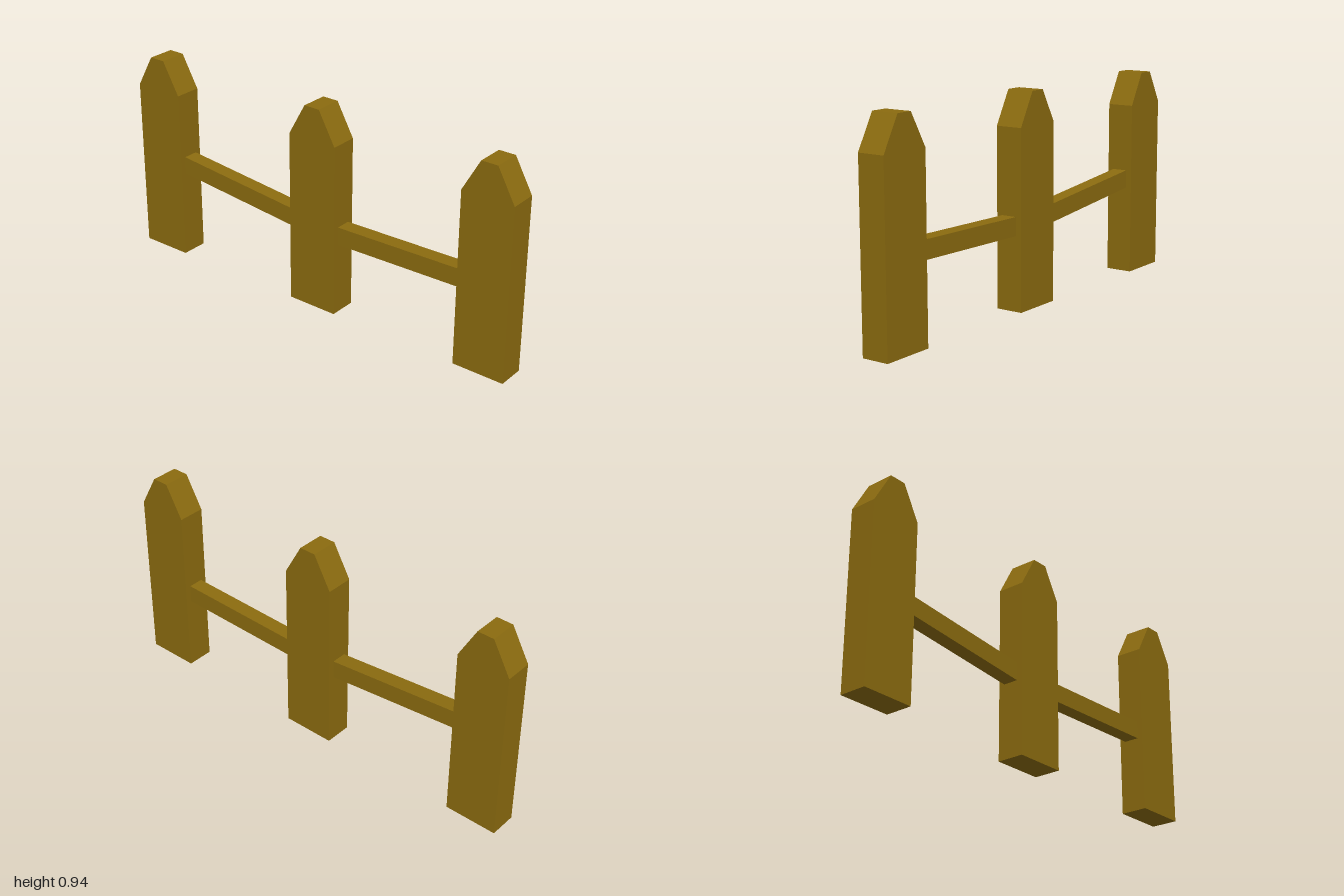
import * as THREE from 'three';

const wood = new THREE.MeshStandardMaterial({ color: 0x8b6b0f, flatShading: true });

// Extrudes a side profile of [z, y] points to a given thickness, centred on x = 0
function plank(name, points, thickness) {
  const shape = new THREE.Shape(points.map(([z, y]) => new THREE.Vector2(z, y)));
  const geometry = new THREE.ExtrudeGeometry(shape, { depth: thickness, bevelEnabled: false });
  geometry.translate(0, 0, -thickness / 2);
  geometry.rotateY(-Math.PI / 2);
  const mesh = new THREE.Mesh(geometry, wood);
  mesh.name = name;
  return mesh;
}

// Post with a sloped, flat-tipped top
function post(name, z) {
  const half = 0.121, tip = 0.038, shoulder = 0.797, height = 0.945;
  const mesh = plank(name, [
    [-half, 0], [half, 0], [half, shoulder], [tip, height], [-tip, height], [-half, shoulder],
  ], 0.125);
  mesh.position.z = z;
  return mesh;
}

// Sloping rail with upright ends, between two points on its centre line
function rail(name, z0, y0, z1, y1) {
  const h = 0.0415;
  return plank(name, [[z0, y0 - h], [z1, y1 - h], [z1, y1 + h], [z0, y0 + h]], 0.07);
}

export function createModel() {
  const fence = new THREE.Group();
  fence.name = 'fence';

  fence.add(
    post('frontPost', 0.88),
    post('middlePost', 0.0127),
    post('backPost', -0.88),
    rail('frontRail', 0.132, 0.374, 0.761, 0.3885),
    rail('backRail', -0.761, 0.447, -0.106, 0.383),
  );

  // The whole run of fence stands slightly askew
  fence.rotation.y = 0.128;

  const model = new THREE.Group();
  model.add(fence);
  return model;
}
